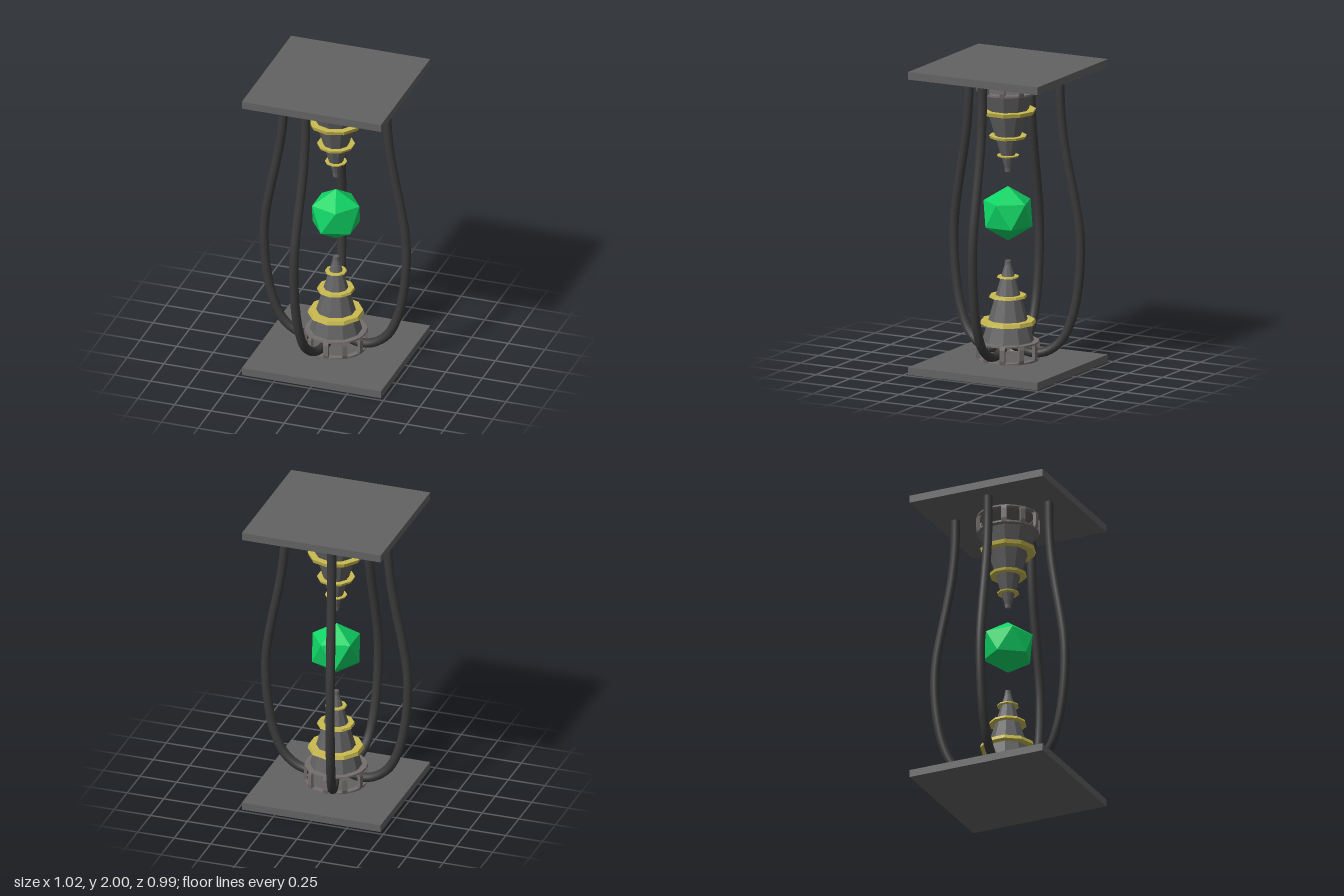
import * as THREE from 'three';

const paint = (color, flatShading = true) => new THREE.MeshStandardMaterial({ color, flatShading });

function add(parent, name, geometry, material, y = 0) {
  const mesh = new THREE.Mesh(geometry, material);
  mesh.name = name;
  mesh.position.y = y;
  parent.add(mesh);
  return mesh;
}

// Flat annulus lying in the horizontal plane, extruded upwards
function annulus(outer, inner, height, sides) {
  const shape = new THREE.Shape().absarc(0, 0, outer, 0, Math.PI * 2);
  shape.holes.push(new THREE.Path().absarc(0, 0, inner, 0, Math.PI * 2, true));
  return new THREE.ExtrudeGeometry(shape, { depth: height, bevelEnabled: false, curveSegments: sides })
    .rotateX(-Math.PI / 2);
}

// Spire: ten-sided cone with gold collars standing on an open cage
function createSpire(mats) {
  const spire = new THREE.Group();
  add(spire, 'cone', new THREE.CylinderGeometry(0.018, 0.17, 0.515, 10), mats.metal, 0.4425);
  add(spire, 'tipKnob', new THREE.CylinderGeometry(0.02, 0.022, 0.026, 10), mats.metal, 0.702);

  for (const [y, radius, height] of [[0.313, 0.183, 0.025], [0.481, 0.123, 0.016], [0.608, 0.072, 0.009]]) {
    add(spire, 'collar', new THREE.CylinderGeometry(radius - height * 0.3, radius, height, 10), mats.gold, y);
  }

  // Cage: two rings joined by bowed posts
  const cage = new THREE.Group();
  cage.name = 'cage';
  spire.add(cage);
  add(cage, 'lowerRing', annulus(0.2, 0.165, 0.012, 20), mats.cage, 0.063);
  add(cage, 'upperRing', annulus(0.2, 0.155, 0.012, 20), mats.cage, 0.175);
  const profile = new THREE.Shape([
    [0.17, 0.065], [0.2, 0.065], [0.207, 0.09], [0.207, 0.16], [0.2, 0.186],
    [0.17, 0.186], [0.186, 0.16], [0.186, 0.09],
  ].map(([r, y]) => new THREE.Vector2(r, y)));
  const post = new THREE.ExtrudeGeometry(profile, { depth: 0.034, bevelEnabled: false })
    .translate(0, 0, -0.017);
  for (let i = 0; i < 10; i++) {
    add(cage, 'post', post, mats.cage).rotation.y = Math.PI / 2 + (i * Math.PI) / 5;
  }
  return spire;
}

export function createModel() {
  const model = new THREE.Group();
  model.name = 'crystalHolder';
  const mats = {
    metal: paint(0x626262), gold: paint(0xcabb50), cage: paint(0x756e6e),
    cable: paint(0x3a3a3a, false), gem: paint(0x0fd465),
  };

  // Square end plates
  const plate = new THREE.BoxGeometry(0.95, 0.05, 0.95);
  add(model, 'basePlate', plate, mats.metal, 0.025);
  add(model, 'topPlate', plate, mats.metal, 1.975);

  // Facing pair of spires
  const lower = createSpire(mats);
  lower.name = 'lowerSpire';
  const upper = createSpire(mats);
  upper.name = 'upperSpire';
  upper.rotation.x = Math.PI;
  upper.position.y = 2.015;
  model.add(lower, upper);

  // Floating gem, one corner pointing straight up
  const golden = (1 + Math.sqrt(5)) / 2;
  const gem = new THREE.IcosahedronGeometry(0.18, 0).rotateZ(-Math.atan2(1, golden));
  add(model, 'gem', gem, mats.gem, 1.025);

  // Cables: one bulging path turned to four uneven angles
  const path = new THREE.CatmullRomCurve3([
    [0.345, 1.96], [0.347, 1.78], [0.365, 1.56], [0.4, 1.35], [0.44, 1.15], [0.472, 0.96],
    [0.481, 0.8], [0.468, 0.58], [0.425, 0.36], [0.35, 0.2], [0.24, 0.122], [0.13, 0.118], [0.03, 0.175],
  ].map(([r, y]) => new THREE.Vector3(r, y, 0)));
  const cable = new THREE.TubeGeometry(path, 64, 0.03, 12);
  mats.cable.side = THREE.DoubleSide;
  for (const degrees of [0, 105, 176.3, -105]) {
    add(model, 'cable', cable, mats.cable).rotation.y = -THREE.MathUtils.degToRad(degrees);
  }
  return model;
}
